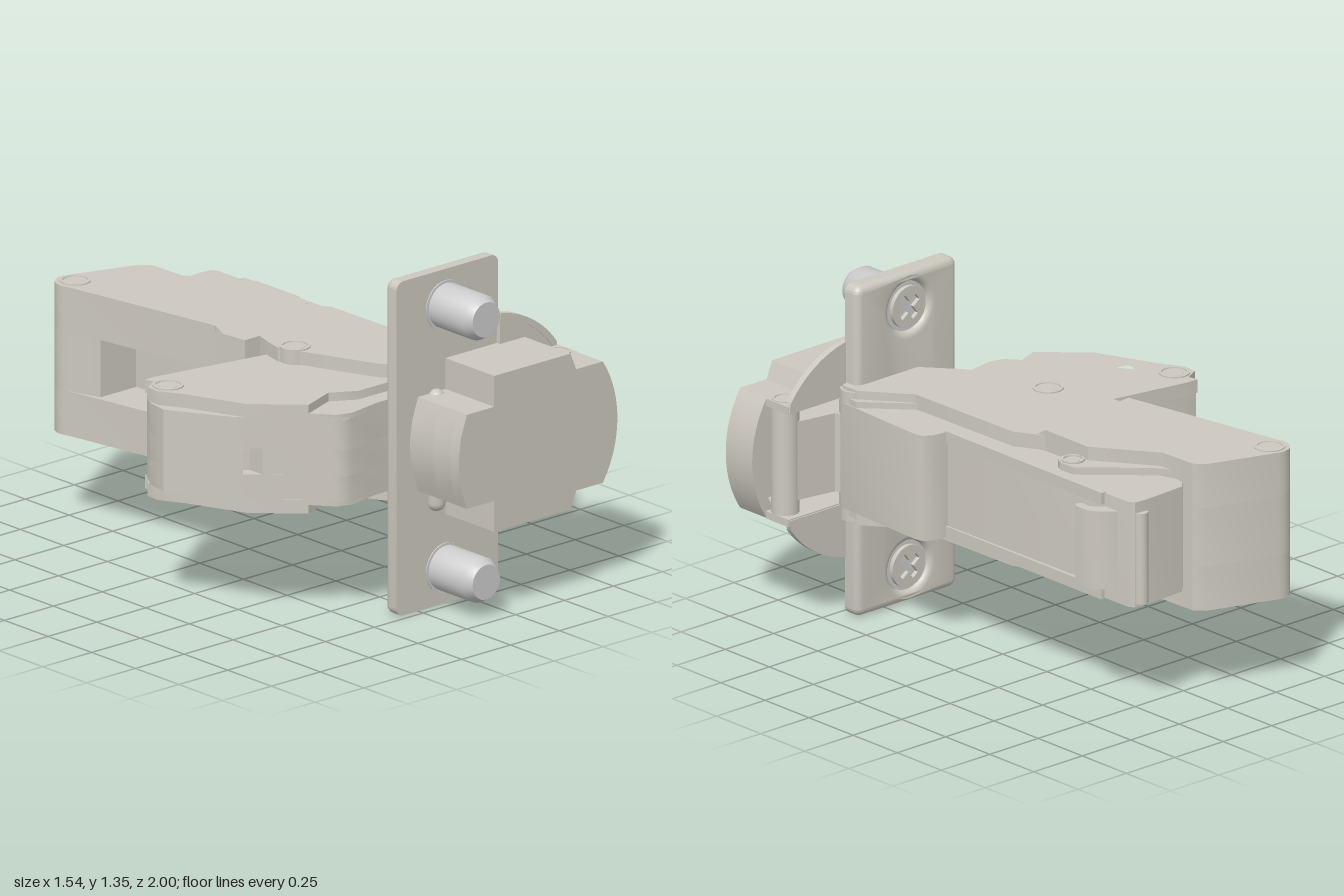
import * as THREE from 'three';
import { toCreasedNormals } from 'three/addons/utils/BufferGeometryUtils.js';

const MID = 0.675; // mirror height of the whole hinge
const steel = new THREE.MeshStandardMaterial({ color: 0xccc8be });
const grey = new THREE.MeshStandardMaterial({ color: 0xcccccc });

export function createModel() {
  const model = new THREE.Group();
  const add = (name, geo, mat = steel) => {
    const mesh = new THREE.Mesh(toCreasedNormals(geo, 0.6), mat);
    mesh.name = name;
    model.add(mesh);
    return mesh;
  };
  const toShape = (pts, sign = 1) => new THREE.Shape(pts.map(([a, b]) => new THREE.Vector2(a, sign * b)));

  // Vertical slab: outline in (x, z), standing from y0 to y1
  const slab = (name, pts, y0, y1, holes = []) => {
    const shape = toShape(pts, -1);
    shape.holes = holes.map((h) => toShape(h, -1));
    const geo = new THREE.ExtrudeGeometry(shape, { depth: y1 - y0, bevelEnabled: false });
    return add(name, geo.rotateX(-Math.PI / 2).translate(0, y0, 0));
  };
  // Two slabs mirrored about the mid height, given by distances from it
  const pair = (name, pts, d0, d1, holes) => {
    slab(name, pts, MID + d0, MID + d1, holes);
    slab(name, pts, MID - d1, MID - d0, holes);
  };
  // Slab facing the front: outline in (x, y), from z0 to z1
  const panel = (name, shape, z0, z1) =>
    add(name, new THREE.ExtrudeGeometry(shape, { depth: z1 - z0, bevelEnabled: false, curveSegments: 24 }).translate(0, 0, z0));
  const arc = (cx, cy, r, a0, a1, n = 16) =>
    Array.from({ length: n + 1 }, (_, i) => {
      const a = a0 + ((a1 - a0) * i) / n;
      return [cx + r * Math.cos(a), cy + r * Math.sin(a)];
    });
  const circle = (x, z, r) => arc(x, z, r, 0, Math.PI * 2, 24).slice(0, -1);

  // Rivet pin with a ring groove on both ends, half length d
  const rivet = (x, z, r, d) => {
    const half = [[0, d - 0.004], [r * 0.6, d - 0.004], [r * 0.68, d - 0.018], [r * 0.78, d - 0.018], [r * 0.82, d], [r, d]];
    const prof = [...half.map(([a, b]) => [a, -b]), ...half.reverse()];
    add('rivet', new THREE.LatheGeometry(prof.map((p) => new THREE.Vector2(...p)), 32).translate(x, MID, z));
  };

  // --- Rear channel, with a window in its side ---
  const corner = arc(-0.29, -0.925, 0.075, Math.PI * 0.85, Math.PI * 1.6, 10);
  const rearRest = [[0.02, -0.9], [0.055, -0.86], [0.06, -0.7], [0.23, -0.46], [0.23, -0.22], [-0.235, -0.18]];
  const rear = [...corner, ...rearRest];
  const rearNotched = [...rear, [-0.257, -0.38], [-0.1, -0.38], [-0.13, -0.75], [-0.312, -0.75]];
  pair('rearChannel', rear, 0.12, 0.3);
  slab('rearChannelWindow', rearNotched, MID - 0.12, MID + 0.12);
  rivet(-0.285, -0.925, 0.06, 0.304);

  // Sloped step between rear and front channel
  for (const s of [1, -1]) {
    const step = toShape([[0, 0.1], [0, 0.3], [0.04, 0.275], [0.04, 0.1]].map(([a, b]) => [a, s * b]));
    const geo = new THREE.ExtrudeGeometry(step, { depth: 0.465, bevelEnabled: false });
    const mesh = add('channelStep', geo.rotateY(-Math.PI / 2));
    mesh.rotation.y = 0.086;
    mesh.position.set(0.23, MID, -0.22);
  }

  // --- Front channel side plates and arm core ---
  const front = [[-0.235, -0.18], [-0.215, -0.03], [-0.14, -0.03], [-0.165, 0.05], [-0.18, 0.12], [-0.02, 0.51],
    [0.1, 0.65], [0.38, 0.72], [0.44, 0.7], [0.44, 0.62], [0.3, 0.44], [0.29, -0.1], [0.24, -0.19], [0.23, -0.22]];
  slab('frontChannel', front, MID - 0.275, MID + 0.275);
  rivet(-0.12, 0.15, 0.06, 0.28);
  rivet(0.4, 0.67, 0.06, 0.265);

  // --- Outer cover along the arm ---
  const cover = [[0.06, -0.78], [0.07, -0.82], [0.1, -0.85], [0.29, -0.86], [0.345, -0.855], [0.36, -0.83], [0.37, 0.18],
    [0.44, 0.19], [0.47, 0.21], [0.48, 0.25], [0.46, 0.68], [0.44, 0.72], [0.4, 0.735], [0.3, 0.7], [0.2, 0.4], [0.15, -0.5]];
  slab('outerCover', cover, MID - 0.215, MID + 0.215);
  pair('coverRail', [[0.355, -0.7], [0.378, -0.7], [0.378, 0.19], [0.355, 0.19]], 0.17, 0.218);
  pair('coverLip', [[0.3, 0.43], [0.46, 0.6], [0.45, 0.7], [0.38, 0.68], [0.27, 0.5]], 0.2, 0.24);
  pair('linkPlate', [[0.06, -0.74], [0.1, -0.69], [0.32, -0.48], [0.325, -0.41], ...arc(0.27, -0.41, 0.05, 0, Math.PI, 8), [0.1, -0.5]], 0.2, 0.245);
  rivet(0.27, -0.42, 0.045, 0.252);

  // Release lever hook and end bead
  slab('releaseLever', [[0.34, -0.78], [0.37, -0.77], [0.42, -0.72], [0.44, -0.69], [0.44, -0.62], [0.42, -0.605],
    [0.4, -0.62], [0.405, -0.66], [0.37, -0.7], [0.34, -0.7]], MID - 0.16, MID + 0.16);
  slab('endBead', circle(0.315, -0.855, 0.028), MID - 0.2, MID + 0.17);

  // --- Side damper block with recessed catch ---
  const blockBack = [[-0.7, -0.05], [-0.65, -0.05], [-0.15, 0.04], [-0.1, 0.3], [0.1, 0.65], [-0.16, 0.655],
    [-0.3, 0.68], [-0.34, 0.675], [-0.37, 0.65], [-0.43, 0.57], [-0.6, 0.41]];
  const blockEnd = [[-0.64, 0.36], [-0.775, 0.13], [-0.76, 0.04]];
  const catchCut = [[-0.555, 0.45], [-0.555, 0.38], [-0.61, 0.33], [-0.61, 0.4]];
  slab('damperBlock', [...blockBack, ...blockEnd], MID + 0.04, MID + 0.165);
  slab('damperBlock', [...blockBack, ...blockEnd], MID - 0.165, MID - 0.065);
  slab('damperCatch', [...blockBack.slice(0, 10), ...catchCut, ...blockEnd], MID - 0.065, MID + 0.04);

  // Cheek plates of the block, with two punched holes
  const cheek = [[-0.7, -0.06], [-0.65, -0.06], [-0.16, 0.03], [-0.1, 0.3], [0.04, 0.58], [-0.18, 0.58], [-0.28, 0.52],
    [-0.43, 0.575], [-0.6, 0.41], [-0.7, 0.17], [-0.755, 0.07], [-0.75, 0.01], [-0.69, -0.02]];
  const slot = [[-0.6, 0.23], [-0.605, 0.2], [-0.56, 0.145], [-0.53, 0.15], [-0.485, 0.2], [-0.485, 0.235], [-0.51, 0.25], [-0.55, 0.24]];
  pair('cheekPlate', cheek, 0.165, 0.22, [circle(-0.385, 0.255, 0.033), slot]);
  pair('cheekToe', [[0.04, 0.58], [-0.18, 0.58], [-0.28, 0.52], [-0.43, 0.575], [-0.36, 0.66], [-0.3, 0.68], [-0.16, 0.655], [0.1, 0.65]], 0.16, 0.185);
  rivet(-0.68, 0.05, 0.06, 0.225);

  // --- Mounting plate: rounded on the back edge, square at the front ---
  const plateShape = new THREE.Shape();
  const [px, pw, ph, pr] = [-0.11, 0.52, 1.35, 0.035];
  plateShape.moveTo(px + pr, 0).lineTo(px + pw - pr, 0);
  plateShape.absarc(px + pw - pr, pr, pr, -Math.PI / 2, 0).absarc(px + pw - pr, ph - pr, pr, 0, Math.PI / 2);
  plateShape.absarc(px + pr, ph - pr, pr, Math.PI / 2, Math.PI).absarc(px + pr, pr, pr, Math.PI, Math.PI * 1.5);
  const screwY = [0.145, 1.205];
  plateShape.holes = screwY.map((y) => toShape(circle(0.14, y, 0.1)));
  add('mountingPlate', new THREE.ExtrudeGeometry(plateShape, {
    depth: 0.005, bevelThickness: 0.03, bevelSize: 0.03, bevelOffset: -0.03, bevelSegments: 5 }).translate(0, 0, 0.68));
  panel('mountingPlateFace', plateShape, 0.685, 0.72);

  // Screws: chamfered dowel in front, cross-slotted head behind
  for (const y of screwY) {
    const dowel = [[0, 0.67], [0.1, 0.67], [0.1, 0.725], [0.09, 0.725], [0.09, 0.92], [0.07, 0.955], [0, 0.955]];
    const geo = new THREE.LatheGeometry(dowel.map((p) => new THREE.Vector2(...p)), 32);
    add('screwDowel', geo.rotateX(Math.PI / 2).translate(0.14, y, 0), grey);
    const head = toShape(circle(0.14, y, 0.085));
    const [a, b] = [0.016, 0.055];
    const cross = [[a, a], [a, b], [-a, b], [-a, a], [-b, a], [-b, -a], [-a, -a], [-a, -b], [a, -b], [a, -a], [b, -a], [b, a]];
    head.holes = [toShape(cross.map(([u, v]) => [0.14 + u * 0.8 + v * 0.6, y + v * 0.8 - u * 0.6]))];
    panel('screwHead', head, 0.652, 0.675);
  }
  add('cupPin', new THREE.CapsuleGeometry(0.036, 0.42, 6, 16).translate(0.085, 0.635, 0.73));

  // --- Hinge cup, outlines relative to mid height ---
  const [cx, cr] = [0.329, 0.441];
  const shifted = (pts) => toShape(pts.map(([x, y]) => [x, y + MID]));
  const upper = [[0.56, 0.245], [0.53, 0.315], [0.14, 0.315], [0.14, 0.19], [0.0, 0.19], [-0.03, 0.1], [-0.04, 0.03]];
  const lower = upper.map(([x, y]) => [x, -y]).reverse();
  const rim = arc(cx, 0, cr, -0.589, 0.589, 24);
  const well = [[0.2, -0.215], [0.66, -0.215], [0.72, -0.1], [0.73, 0], [0.72, 0.1], [0.66, 0.215], [0.2, 0.215]];
  const round = [...rim, ...upper, ...lower];
  panel('cupFloor', shifted(round), 0.95, 1);
  const wall = shifted(round);
  wall.holes = [shifted(well)];
  panel('cupWall', wall, 0.85, 0.95);
  panel('cupEars', shifted([[0.7, 0.245], ...upper, ...lower, [0.7, -0.245], [0.7, -0.215], [0.2, -0.215], [0.2, 0.215], [0.7, 0.215]]), 0.72, 0.85);

  // Curved flange either side, with a raised lip, and the pin through the ears
  for (const s of [1, -1]) {
    const flip = (pts) => shifted(pts.map(([x, y]) => [x, s * y]));
    panel('cupFlange', flip([...arc(cx, 0, cr + 0.006, 0.62, 1.4), [0.4, 0.22], [0.7, 0.22]]), 0.715, 0.738);
    panel('flangeLip', flip([...arc(cx, 0, cr + 0.006, 0.62, 1.4), ...arc(cx, 0, cr - 0.02, 1.4, 0.62)]), 0.73, 0.742);
  }
  rivet(0.645, 0.8, 0.05, 0.249);
  slab('cupRoller', circle(0.645, 0.8, 0.055), MID - 0.215, MID + 0.215);

  // Links from the arm into the cup
  slab('innerLink', [[0.24, 0.6], [0.42, 0.6], [0.46, 0.72], [0.64, 0.75], [0.66, 0.84], [0.45, 0.88], [0.3, 0.84]], MID - 0.16, MID + 0.16);
  return model;
}
